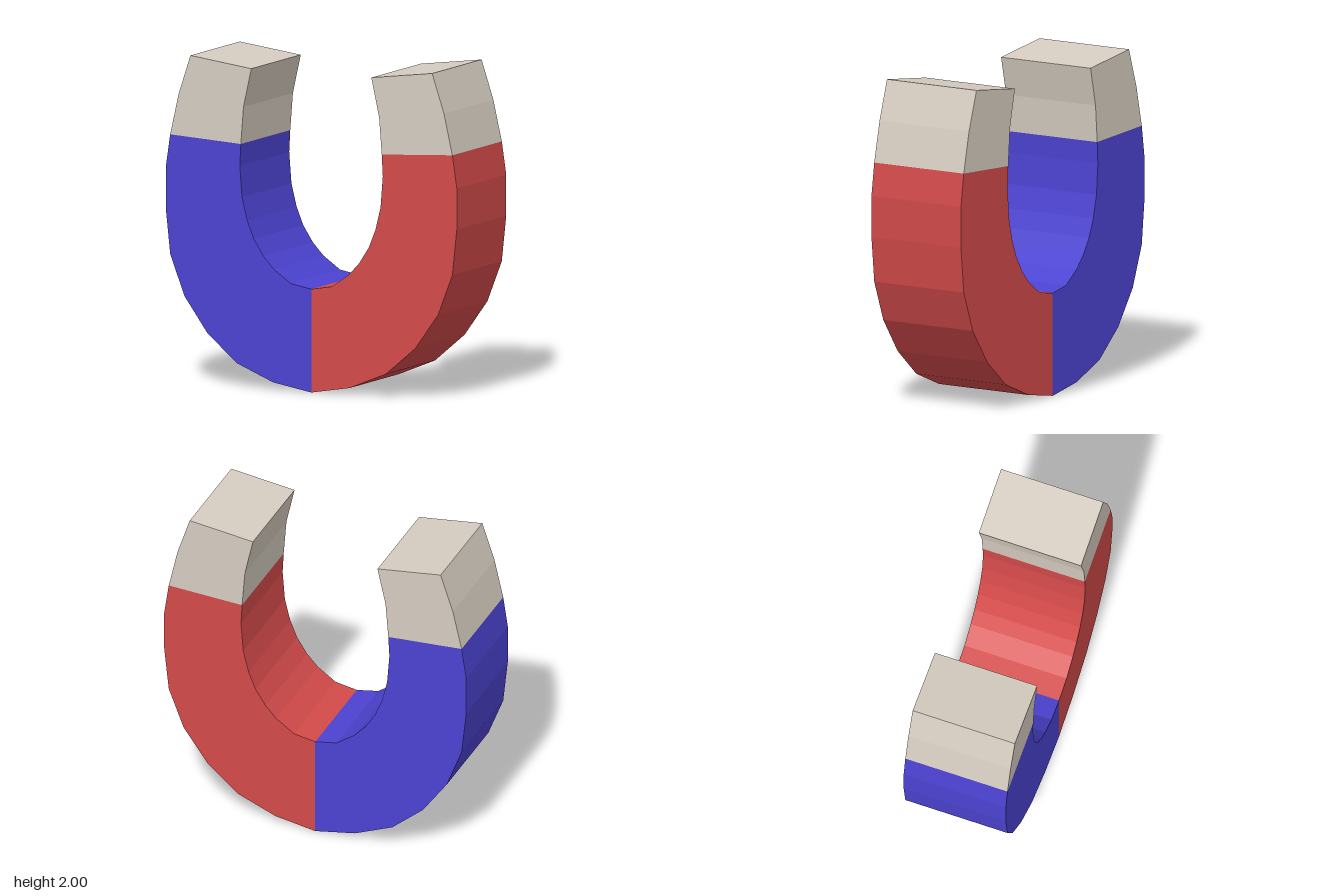
import * as THREE from 'three';

// Matching outer and inner profile points of one arm, from bottom centre to tip
const OUTER = [[0, 0], [0.26, 0.045], [0.505, 0.145], [0.705, 0.315], [0.86, 0.53], [0.957, 0.78],
  [0.987, 1.06], [0.987, 1.31], [0.957, 1.51], [0.9, 1.76], [0.82, 2]];
const INNER = [[0, 0.63], [0.14, 0.655], [0.255, 0.735], [0.325, 0.81], [0.39, 0.91], [0.435, 1.02],
  [0.47, 1.16], [0.485, 1.35], [0.478, 1.483], [0.46, 1.71], [0.407, 1.947]];
const HALF_DEPTH = 0.326;
const TIP_START = 8;

// Square-section band between two profile stations; side = -1 mirrors it
function band(from, to, side, capped) {
  const positions = [];
  const quad = (a, b, c, d) => {
    const corners = side > 0 ? [a, b, c, a, c, d] : [a, c, b, a, d, c];
    corners.forEach(([x, y, z]) => positions.push(x * side, y, z));
  };
  const station = (i) => ({
    of: [...OUTER[i], HALF_DEPTH], ob: [...OUTER[i], -HALF_DEPTH],
    nf: [...INNER[i], HALF_DEPTH], nb: [...INNER[i], -HALF_DEPTH],
  });
  for (let i = from; i < to; i++) {
    const p = station(i), q = station(i + 1);
    quad(p.of, q.of, q.nf, p.nf); // front
    quad(p.nb, q.nb, q.ob, p.ob); // back
    quad(p.ob, q.ob, q.of, p.of); // outer wall
    quad(p.nf, q.nf, q.nb, p.nb); // inner wall
  }
  if (capped) {
    const e = station(to);
    quad(e.of, e.ob, e.nb, e.nf); // pole face
  }
  const geometry = new THREE.BufferGeometry();
  geometry.setAttribute('position', new THREE.Float32BufferAttribute(positions, 3));
  geometry.computeVertexNormals();
  return geometry;
}

export function createModel() {
  const material = (name, color) => {
    const m = new THREE.MeshStandardMaterial({ color });
    m.name = name;
    return m;
  };
  const red = material('red', 0xd34a4a);
  const blue = material('blue', 0x4c43d2);
  const steel = material('pale steel', 0xd6cdc1);

  const group = new THREE.Group();
  group.name = 'horseshoeMagnet';
  const add = (name, geometry, mat) => {
    const mesh = new THREE.Mesh(geometry, mat);
    mesh.name = name;
    group.add(mesh);
  };

  // Coloured arms with bare steel tips
  for (const [label, side, paint] of [['left', 1, red], ['right', -1, blue]]) {
    add(`${label}Arm`, band(0, TIP_START, side, false), paint);
    add(`${label}Tip`, band(TIP_START, OUTER.length - 1, side, true), steel);
  }
  return group;
}
